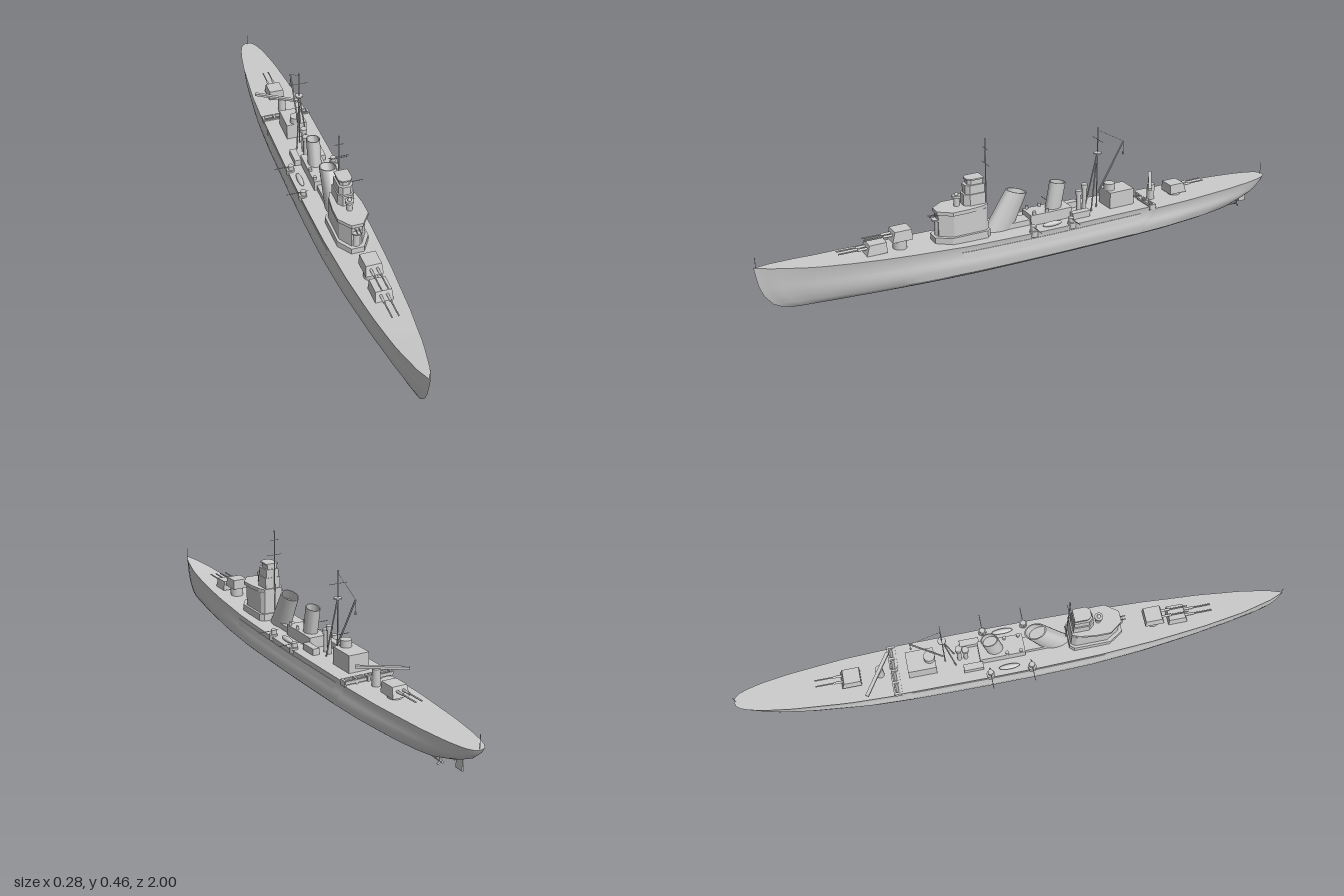
import * as THREE from 'three';
import { toCreasedNormals } from 'three/addons/utils/BufferGeometryUtils.js';

const mat = new THREE.MeshStandardMaterial({ color: 0xcccccc });
const thin = new THREE.MeshStandardMaterial({ color: 0xcccccc, side: THREE.DoubleSide });
const V = (x, y, z) => new THREE.Vector3(x, y, z);

// piecewise linear lookup in [position, value] pairs
function lookup(pairs, t) {
  for (let i = 1; i < pairs.length; i++) {
    const [a, u] = pairs[i - 1], [b, v] = pairs[i];
    if (t <= b) return u + (v - u) * (t - a) / (b - a);
  }
  return pairs[pairs.length - 1][1];
}

const BEAM = [[-1, 0], [-0.995, 0.016], [-0.98, 0.028], [-0.95, 0.039], [-0.9, 0.051], [-0.8, 0.066], [-0.6, 0.084],
  [-0.4, 0.091], [-0.1, 0.093], [0.1, 0.092], [0.3, 0.088], [0.5, 0.078], [0.7, 0.061], [0.85, 0.041], [0.95, 0.019], [1, 0]];
const DECK = [[-1, 0.102], [-0.43, 0.102], [-0.42, 0.114], [0, 0.114], [0.3, 0.118], [0.6, 0.13], [0.8, 0.143], [1, 0.165]];
// hull levels: height fraction, width factor, stern end, bow end
const LEVELS = [[0, 0.73, 0.74, 0.89], [0.06, 0.86, 0.8, 0.925], [0.15, 0.98, 0.85, 0.95], [0.35, 1.02, 0.91, 0.975], [0.5, 1.02, 0.945, 0.985],
  [0.6, 0.98, 0.965, 0.99], [0.82, 0.95, 0.99, 0.996], [1, 1, 1, 1]];

function hullPoint([f, w, stern, bow], t, side, grow = 0) {
  const s = Math.max(0, (t - 0.2) / 0.8);
  const x = lookup(BEAM, t) * w * (1 - 0.55 * (1 - f) * s * s) + grow;
  return [side * x, f * lookup(DECK, t), t * (t > 0 ? bow : stern)];
}

function grid(rows, closed) {
  const n = rows[0].length, idx = [];
  for (let i = 0; i < rows.length - 1; i++)
    for (let j = 0; j < (closed ? n : n - 1); j++) {
      const a = i * n + j, b = i * n + (j + 1) % n;
      idx.push(a, b, a + n, b, b + n, a + n);
    }
  const g = new THREE.BufferGeometry();
  g.setAttribute('position', new THREE.Float32BufferAttribute(rows.flat(2), 3));
  g.setIndex(idx);
  return toCreasedNormals(g, 0.5);
}

export function createModel() {
  const ship = new THREE.Group();
  const add = (name, geo, x = 0, y = 0, z = 0, parent = ship, m = mat) => {
    const mesh = new THREE.Mesh(geo, m);
    mesh.name = name;
    mesh.position.set(x, y, z);
    parent.add(mesh);
    return mesh;
  };
  // block and cylinder stand on height y0
  const box = (name, w, y0, y1, z0, z1, x = 0, parent = ship) =>
    add(name, new THREE.BoxGeometry(w, y1 - y0, Math.abs(z1 - z0)), x, (y0 + y1) / 2, (z0 + z1) / 2, parent);
  const drum = (name, r, y0, y1, z, x = 0, r2 = r, parent = ship) =>
    add(name, new THREE.CylinderGeometry(r2, r, y1 - y0, 20), x, (y0 + y1) / 2, z, parent);
  const rod = (name, a, b, r = 0.0015, parent = ship) => {
    const d = b.clone().sub(a);
    const mesh = add(name, new THREE.CylinderGeometry(r, r, d.length(), 8), 0, 0, 0, parent);
    mesh.position.copy(a).lerp(b, 0.5);
    mesh.quaternion.setFromUnitVectors(V(0, 1, 0), d.normalize());
    return mesh;
  };
  // horizontal slab from a half plan of [x, z] points, front to back
  const slab = (name, plan, y0, y1) => {
    const pts = [...plan, ...plan.map(([x, z]) => [-x, z]).reverse()].map(p => new THREE.Vector2(...p));
    const g = new THREE.ExtrudeGeometry(new THREE.Shape(pts), { depth: y1 - y0, bevelEnabled: false });
    return add(name, g.rotateX(Math.PI / 2), 0, y1, 0);
  };

  // hull with deck step and rounded stern
  const stations = [];
  for (let i = 0; i <= 60; i++) stations.push(-Math.cos(i / 60 * Math.PI));
  stations.push(-0.43, -0.42);
  stations.sort((a, b) => a - b);
  const down = [...LEVELS].reverse();
  add('hull', grid(stations.map(t => [...down.map(l => hullPoint(l, t, -1)), ...LEVELS.map(l => hullPoint(l, t, 1))]), true), 0, 0, 0, ship, thin);

  // side armour belts
  for (const side of [-1, 1]) {
    const rows = [];
    for (let i = 0; i <= 20; i++) {
      const t = -0.38 + i * 0.0355;
      rows.push([[5, 0], [5, 0.002], [6, 0.002], [6, 0]].map(([l, g]) => hullPoint(LEVELS[l], t, side, g)));
    }
    add('armourBelt', grid(rows, false), 0, 0, 0, ship, thin);
  }

  // twin gun turrets
  const turret = (z, base, bottom, dir) => {
    const g = new THREE.Group();
    g.name = 'gunTurret';
    const body = new THREE.BoxGeometry(0.06, 0.036, 0.07), p = body.attributes.position;
    for (let i = 0; i < p.count; i++) if (p.getY(i) > 0) {
      p.setX(i, p.getX(i) * 0.9);
      if (p.getZ(i) > 0) p.setZ(i, 0.024);
    }
    body.computeVertexNormals();
    add('turretHouse', body, 0, 0.018, 0, g);
    drum('barbette', 0.024, bottom - base, 0.002, 0, 0, 0.024, g);
    for (const x of [-0.011, 0.011]) {
      rod('gunBarrel', V(x, 0.021, 0.03), V(x, 0.022, 0.125), 0.0026, g);
      rod('gunSleeve', V(x, 0.021, 0.025), V(x, 0.0215, 0.06), 0.0045, g);
    }
    g.position.set(0, base, z);
    if (dir < 0) g.rotation.y = Math.PI;
    ship.add(g);
  };
  turret(0.607, 0.132, 0.12, 1);
  turret(0.518, 0.16, 0.12, 1);
  turret(-0.58, 0.112, 0.1, -1);

  // bridge structure
  slab('bridgeBase', [[0.022, 0.4], [0.054, 0.35], [0.054, 0.22], [0.04, 0.205]], 0.11, 0.143);
  slab('bridgeHouse', [[0.018, 0.385], [0.045, 0.34], [0.045, 0.225], [0.035, 0.21]], 0.14, 0.223);
  slab('bridgePlatform', [[0.02, 0.39], [0.053, 0.345], [0.053, 0.29], [0.046, 0.235], [0.036, 0.21]], 0.222, 0.235);
  slab('bridgeTowerLower', [[0.015, 0.29], [0.029, 0.272], [0.029, 0.215]], 0.235, 0.275);
  slab('bridgeTowerMiddle', [[0.013, 0.283], [0.025, 0.27], [0.025, 0.217]], 0.275, 0.306);
  slab('bridgeTowerUpper', [[0.01, 0.273], [0.019, 0.263], [0.019, 0.22]], 0.306, 0.323);
  slab('bridgeRoof', [[0.013, 0.278], [0.024, 0.265], [0.024, 0.217]], 0.323, 0.328);
  drum('directorColumn', 0.01, 0.235, 0.268, 0.31);
  drum('directorHead', 0.015, 0.264, 0.273, 0.31);
  add('directorDome', new THREE.SphereGeometry(0.007, 14, 10), 0, 0.275, 0.31);
  drum('lightGunMount', 0.014, 0.143, 0.2, 0.378);
  drum('lightGunPlatform', 0.02, 0.198, 0.203, 0.383);
  for (const x of [-0.006, 0.006]) rod('lightGun', V(x, 0.213, 0.37), V(x, 0.214, 0.412), 0.002);
  box('lightGunShield', 0.028, 0.202, 0.22, 0.37, 0.384);

  // foremast
  rod('foremast', V(0, 0.115, 0.2), V(0, 0.455, 0.2), 0.002);
  rod('foreYardLower', V(-0.029, 0.365, 0.2), V(0.029, 0.365, 0.2), 0.001);
  rod('foreYardUpper', V(-0.016, 0.42, 0.2), V(0.016, 0.42, 0.2), 0.001);

  // raked oval funnels with hollow tops
  const funnel = (name, rx, zb, rb, yb, zt, rt, yt, tilt) => {
    const pts = [[1, 0], [1, 1], [0.88, 1], [0.88, 0.75], [0.001, 0.75]].map(p => new THREE.Vector2(...p));
    const g = new THREE.LatheGeometry(pts, 32), p = g.attributes.position;
    for (let i = 0; i < p.count; i++) {
      const x = p.getX(i), h = p.getY(i), z = p.getZ(i);
      p.setXYZ(i, x * rx, yb + h * (yt - yb + tilt * z), zb + h * (zt - zb) + z * (rb + h * (rt - rb)));
    }
    add(name, toCreasedNormals(g, 0.6), 0, 0, 0, ship, thin);
  };
  funnel('forwardFunnel', 0.029, 0.158, 0.057, 0.112, 0.085, 0.038, 0.244, 0.01);
  funnel('aftFunnel', 0.024, -0.058, 0.03, 0.14, -0.078, 0.03, 0.246, 0.005);

  // midships houses
  box('funnelHouse', 0.07, 0.11, 0.153, 0.045, -0.118);
  box('ventHouse', 0.05, 0.11, 0.135, 0.13, 0.045);
  for (const x of [-0.046, 0.046]) {
    box('sideLocker', 0.024, 0.11, 0.137, -0.11, -0.18, x);
    for (const z of [0.03, -0.02]) drum('ventilator', 0.006, 0.15, 0.165, z, x * 0.62);
  }

  // searchlight columns between funnel and mainmast
  for (const [z, top] of [[-0.165, 0.195], [-0.188, 0.215]]) {
    drum('searchlightColumn', 0.008, 0.11, top - 0.014, z);
    drum('searchlight', 0.012, top - 0.016, top, z);
  }

  // mainmast, stays and derrick
  rod('mainmast', V(0, 0.11, -0.24), V(0, 0.42, -0.24), 0.002);
  for (const x of [-0.022, 0.022]) rod('mastLeg', V(x, 0.112, -0.205), V(0, 0.325, -0.239), 0.0025);
  drum('mastPlatform', 0.014, 0.322, 0.327, -0.24);
  rod('mainYard', V(-0.034, 0.375, -0.24), V(0.034, 0.375, -0.24), 0.001);
  rod('derrickBoom', V(0, 0.17, -0.245), V(0, 0.35, -0.348), 0.003);
  rod('derrickStay', V(0, 0.41, -0.24), V(0, 0.35, -0.348), 0.0006);
  rod('hoistLine', V(0, 0.35, -0.348), V(0, 0.305, -0.348), 0.0008);
  drum('hoistHook', 0.003, 0.3, 0.31, -0.348);

  // after deckhouse
  box('afterHouse', 0.076, 0.105, 0.175, -0.275, -0.375);
  drum('afterDirector', 0.02, 0.175, 0.2, -0.293);

  // rails along the deck step
  for (const z of [-0.412, -0.436])
    for (const x of [-0.05, 0.05]) box('stepRail', 0.08, 0.108, 0.119, z - 0.003, z + 0.003, x);
  for (const x of [-0.088, -0.045, 0, 0.045, 0.088]) box('stepPost', 0.008, 0.1, 0.12, -0.436, -0.412, x);

  // angled catapult on its pedestal
  drum('catapultPedestal', 0.014, 0.1, 0.16, -0.475);
  const catapult = box('catapultBeam', 0.172, 0.158, 0.167, -0.489, -0.477, -0.018);
  catapult.rotation.y = -0.58;

  // broadside guns, boats, shafts and propellers
  for (const s of [-1, 1]) {
    for (const z of [0.06, -0.09]) {
      drum('gunSponson', 0.015, 0.1, 0.121, z, s * 0.082);
      drum('broadsideMount', 0.01, 0.12, 0.137, z, s * 0.08);
      rod('broadsideGun', V(s * 0.062, 0.133, z), V(s * 0.141, 0.133, z), 0.0014);
    }
    const boat = add('boat', new THREE.SphereGeometry(1, 16, 10), s * 0.068, 0.123, -0.02);
    boat.scale.set(0.01, 0.009, 0.038);
    rod('propellerShaft', V(s * 0.03, 0.018, -0.68), V(s * 0.03, 0.013, -0.865), 0.002);
    rod('shaftStrut', V(s * 0.03, 0.014, -0.84), V(s * 0.026, 0.05, -0.835), 0.002);
    for (let k = 0; k < 3; k++) {
      const blade = add('propellerBlade', new THREE.BoxGeometry(0.007, 0.024, 0.002).translate(0, 0.006, 0), s * 0.03, 0.014, -0.86);
      blade.scale.y = 0.75;
      blade.rotation.set(0, 0, k * Math.PI * 2 / 3);
    }
  }
  box('rudder', 0.005, 0.003, 0.06, -0.895, -0.925);

  // flagstaffs
  rod('jackstaff', V(0, 0.16, 0.993), V(0, 0.2, 0.993), 0.001);
  rod('ensignStaff', V(0, 0.1, -0.993), V(0, 0.147, -0.993), 0.001);
  return ship;
}
